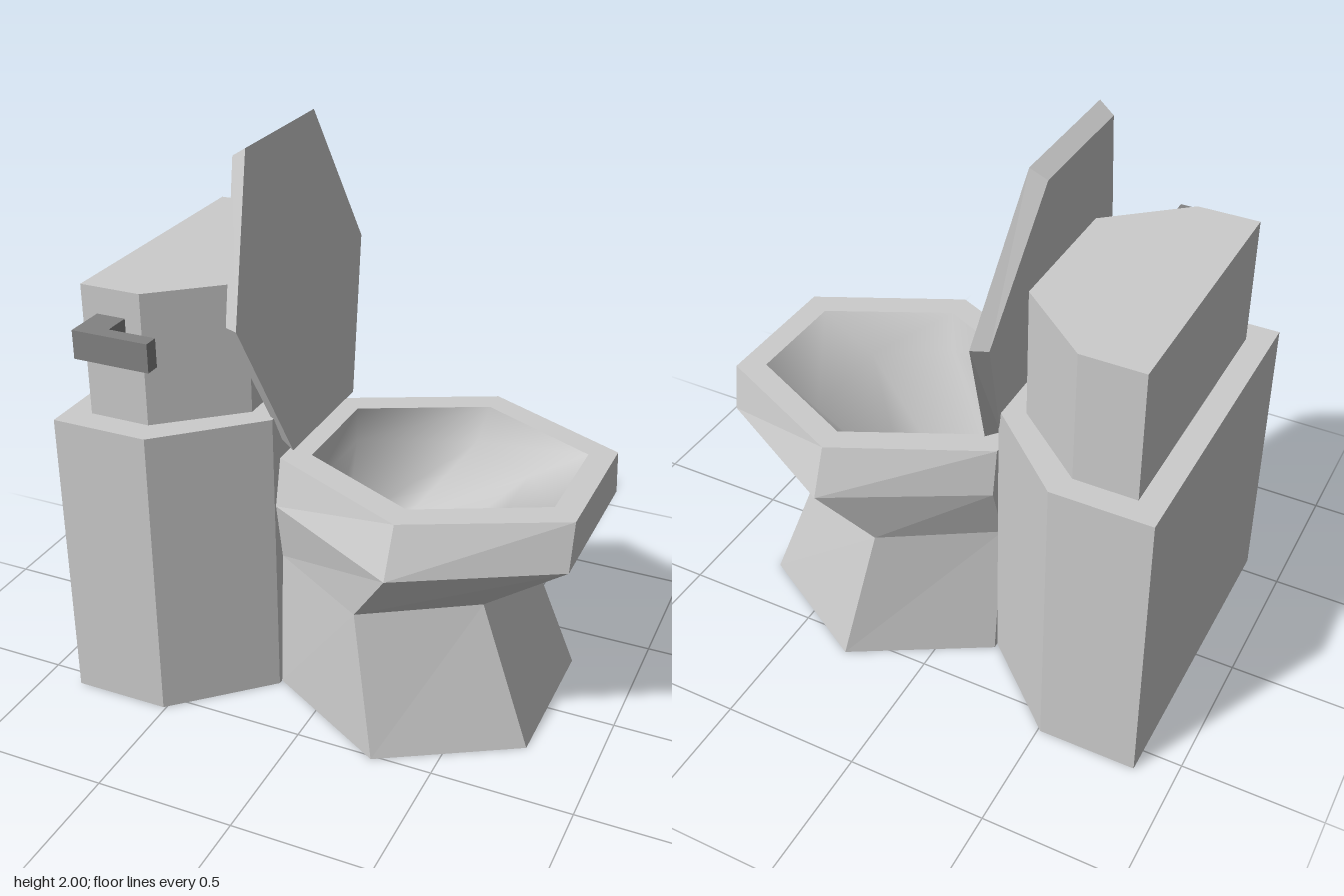
import * as THREE from 'three';

const grey = new THREE.MeshStandardMaterial({ color: 0xcccccc });
const dark = new THREE.MeshStandardMaterial({ color: 0x828282 });
const black = new THREE.MeshStandardMaterial({ color: 0x0a0a0a });

// Six-sided horizontal section: back, side and front x, with half widths in z
function ring(y, xBack, xMid, xFront, hBack, hMid, hFront, cz) {
  return [
    [xFront, y, cz + hFront], [xFront, y, cz - hFront], [xMid, y, cz - hMid],
    [xBack, y, cz - hBack], [xBack, y, cz + hBack], [xMid, y, cz + hMid],
  ];
}

// Six-sided upright section for the lid, leaning from the bottom x to the top x
function lidRing(xBottom, yBottom, xTop, yTop, hMid, hEnd, cz) {
  const xm = (xBottom + xTop) / 2, ym = (yBottom + yTop) / 2;
  return [
    [xm, ym, cz - hMid], [xTop, yTop, cz - hEnd], [xTop, yTop, cz + hEnd],
    [xm, ym, cz + hMid], [xBottom, yBottom, cz + hEnd], [xBottom, yBottom, cz - hEnd],
  ];
}

// Joins the sections in order, with optional end caps
function loft(name, rings, { start = true, end = true, smooth = false, material = grey } = {}) {
  const n = rings[0].length, index = [];
  rings.forEach((r, k) => {
    if (k === rings.length - 1) return;
    for (let i = 0; i < n; i++) {
      const j = (i + 1) % n, a = k * n + i, b = k * n + j;
      index.push(a, b, b + n, a, b + n, a + n);
    }
  });
  const last = (rings.length - 1) * n;
  for (let i = 1; i < n - 1; i++) {
    if (start) index.push(0, i + 1, i);
    if (end) index.push(last, last + i, last + i + 1);
  }
  let geometry = new THREE.BufferGeometry();
  geometry.setAttribute('position', new THREE.Float32BufferAttribute(rings.flat(2), 3));
  geometry.setIndex(index);
  if (!smooth) geometry = geometry.toNonIndexed();
  geometry.computeVertexNormals();
  const mesh = new THREE.Mesh(geometry, material);
  mesh.name = name;
  return mesh;
}

function box(name, x0, x1, y0, y1, z0, z1) {
  const mesh = new THREE.Mesh(new THREE.BoxGeometry(x1 - x0, y1 - y0, z1 - z0), dark);
  mesh.position.set((x0 + x1) / 2, (y0 + y1) / 2, (z0 + z1) / 2);
  mesh.name = name;
  return mesh;
}

export function createModel() {
  const model = new THREE.Group();
  model.name = 'toilet';

  // Lower cabinet and cistern: prisms with the front corners cut off
  const cabinet = (y) => ring(y, -0.86, -0.51, -0.19, 0.572, 0.572, 0.275, -0.013);
  const cistern = (y) => ring(y, -0.77, -0.55, -0.28, 0.48, 0.48, 0.25, -0.015);
  model.add(loft('cabinet', [cabinet(0), cabinet(1.09)]));
  model.add(loft('cistern', [cistern(1.09), cistern(1.56)], { start: false }));

  // Foot, waist, flared rim and flat seat edge
  const opening = ring(0.92, -0.1, 0.337, 0.77, 0.195, 0.405, 0.195, -0.047);
  model.add(loft('bowl', [
    ring(0, -0.19, 0.285, 0.755, 0.276, 0.55, 0.276, -0.033),
    ring(0.525, -0.19, 0.19, 0.565, 0.231, 0.465, 0.231, -0.02),
    ring(0.75, -0.19, 0.337, 0.86, 0.29, 0.58, 0.29, -0.037),
    ring(0.92, -0.19, 0.337, 0.86, 0.255, 0.505, 0.255, -0.043),
    opening,
  ], { end: false }));

  // Inside of the bowl and its drain
  const drain = ring(0.48, -0.1, 0.08, 0.26, 0.104, 0.215, 0.104, -0.045);
  model.add(loft('basin', [
    opening,
    ring(0.79, -0.1, 0.31, 0.565, 0.19, 0.36, 0.19, -0.047),
    drain,
  ], { start: false, end: false, smooth: true }));
  model.add(loft('drain', [drain], { start: false, material: black }));

  // Raised lid
  model.add(loft('lid', [
    lidRing(-0.19, 0.985, -0.34, 1.965, 0.458, 0.235, -0.04),
    lidRing(-0.14, 0.96, -0.285, 2, 0.488, 0.25, -0.04),
  ]));

  // Flush handle
  const handle = new THREE.Group();
  handle.name = 'flushHandle';
  handle.add(box('handleStem', -0.715, -0.61, 1.365, 1.465, 0.46, 0.56));
  handle.add(box('handleLever', -0.715, -0.44, 1.365, 1.465, 0.56, 0.612));
  model.add(handle);

  return model;
}
